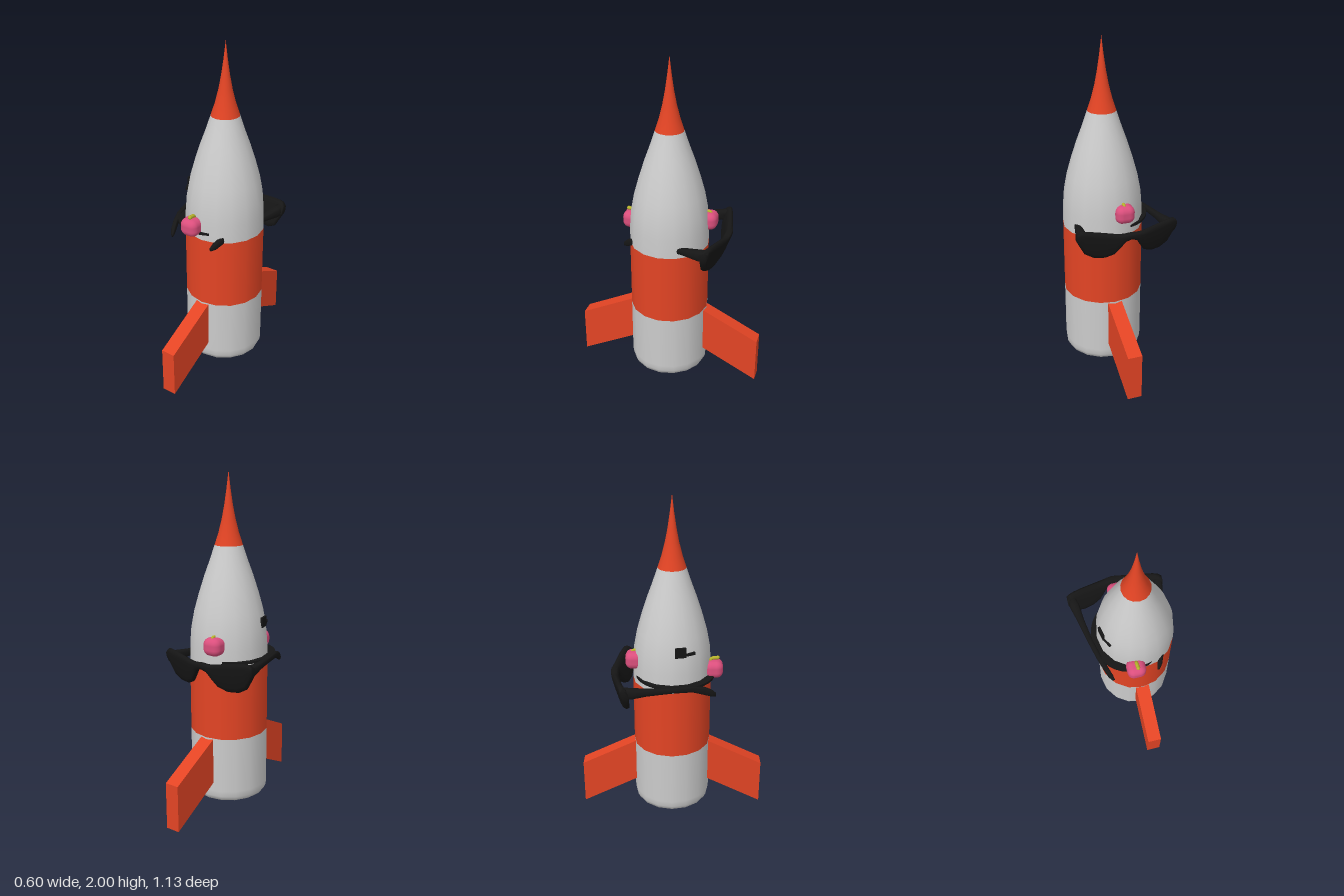
import * as THREE from 'three';
import { RoundedBoxGeometry } from 'three/addons/geometries/RoundedBoxGeometry.js';

const paint = (color) => new THREE.MeshStandardMaterial({ color });
const grey = paint(0xcccccc), red = paint(0xe34424), black = paint(0x161616);
const pink = paint(0xdb4f7d), lime = paint(0xb8b42c);
black.side = THREE.DoubleSide;

const V = (x, y, z) => new THREE.Vector3(x, y, z);

function add(parent, name, geometry, material, x = 0, y = 0, z = 0) {
  const mesh = new THREE.Mesh(geometry, material);
  mesh.name = name;
  mesh.position.set(x, y, z);
  parent.add(mesh);
  return mesh;
}

const lathe = (pts) =>
  new THREE.LatheGeometry(pts.map(([r, y]) => new THREE.Vector2(r, y)), 16);

// Skins rounded cross-sections {c: centre, u, v: half axes} and closes both ends
function loft(sections, sides = 12) {
  const pos = [], index = [];
  const soft = (t) => Math.sign(t) * Math.pow(Math.abs(t), 0.65);
  for (const { c, u, v } of sections) {
    for (let i = 0; i < sides; i++) {
      const a = (i / sides) * Math.PI * 2;
      const p = c.clone().addScaledVector(u, soft(Math.cos(a))).addScaledVector(v, soft(Math.sin(a)));
      pos.push(p.x, p.y, p.z);
    }
  }
  const last = sections.length - 1;
  for (let s = 0; s < last; s++) {
    for (let i = 0; i < sides; i++) {
      const a = s * sides + i, b = s * sides + ((i + 1) % sides);
      index.push(a, b, b + sides, a, b + sides, a + sides);
    }
  }
  for (let i = 1; i < sides - 1; i++) {
    index.push(0, i + 1, i);
    index.push(last * sides, last * sides + i, last * sides + i + 1);
  }
  const g = new THREE.BufferGeometry();
  g.setAttribute('position', new THREE.Float32BufferAttribute(pos, 3));
  g.setIndex(index);
  g.computeVertexNormals();
  return g;
}

function makeRocket() {
  const rocket = new THREE.Group();
  rocket.name = 'rocket';
  rocket.position.x = 0.055;

  // Hull in four bands, with a hollow under the base
  add(rocket, 'lowerHull', lathe([[0, 0.11], [0.08, 0.1], [0.13, 0.075], [0.155, 0.05], [0.175, 0.043],
    [0.2, 0.046], [0.222, 0.06], [0.233, 0.085], [0.235, 0.12], [0.235, 0.46]]), grey);
  add(rocket, 'hullBand', lathe([[0.235, 0.46], [0.235, 0.89]]), red);
  add(rocket, 'upperHull', lathe([[0.235, 0.89], [0.233, 1], [0.225, 1.1], [0.206, 1.2],
    [0.178, 1.3], [0.146, 1.4], [0.113, 1.49], [0.083, 1.58]]), grey);
  add(rocket, 'noseTip', lathe([[0.083, 1.58], [0.06, 1.65], [0.04, 1.73], [0.025, 1.81],
    [0.012, 1.9], [0, 2]]), red);

  // Swept fins at front and back
  const outline = new THREE.Shape([[0.19, 0.47], [0.19, 0.19], [0.565, 0], [0.565, 0.285]]
    .map(([x, y]) => new THREE.Vector2(x, y)));
  const finGeometry = new THREE.ExtrudeGeometry(outline, { depth: 0.086, bevelEnabled: false });
  finGeometry.translate(0, 0, -0.043);
  for (const s of [1, -1]) {
    const fin = add(rocket, s > 0 ? 'frontFin' : 'backFin', finGeometry, red);
    fin.rotation.y = -s * Math.PI / 2;
  }
  return rocket;
}

function makeSunglasses() {
  const glasses = new THREE.Group();
  glasses.name = 'sunglasses';

  // Half of the front: x, top, bottom, z
  const half = [[0, 0.965, 0.925, -0.342], [0.035, 0.962, 0.912, -0.341], [0.06, 0.963, 0.87, -0.338],
    [0.09, 0.968, 0.825, -0.331], [0.14, 0.977, 0.8, -0.318], [0.2, 0.986, 0.802, -0.302],
    [0.25, 0.99, 0.83, -0.287], [0.28, 0.988, 0.885, -0.276], [0.298, 0.97, 0.92, -0.272]];
  const mirrored = half.slice(1).reverse().map(([x, ...rest]) => [-x, ...rest]);
  add(glasses, 'lensFrame', loft([...mirrored, ...half].map(([x, top, bottom, z]) => {
    const y = (top + bottom) / 2, h = (top - bottom) / 2;
    return { c: V(x, y, z + (0.95 - y) * 0.25), u: V(0, h, -0.25 * h), v: V(0, 0, 0.023) };
  })), black);

  // Temples: x, y, z, half width, half height
  const arm = [[0.272, 0.94, -0.285, 0.024, 0.036], [0.262, 0.935, -0.23, 0.03, 0.03],
    [0.248, 0.935, -0.14, 0.021, 0.02], [0.224, 0.935, 0, 0.016, 0.016], [0.195, 0.93, 0.12, 0.016, 0.018],
    [0.17, 0.905, 0.19, 0.016, 0.024], [0.152, 0.88, 0.235, 0.015, 0.02], [0.14, 0.865, 0.258, 0.008, 0.01]];
  for (const s of [1, -1]) {
    add(glasses, s > 0 ? 'leftTemple' : 'rightTemple', loft(arm.map(([x, y, z, w, h]) =>
      ({ c: V(s * x, y, z), u: V(w, 0, 0), v: V(0, h, 0) }))), black);
  }
  return glasses;
}

function makeFruit(name, y, z, s) {
  const fruit = new THREE.Group();
  fruit.name = name;
  fruit.position.set(0, y, z);
  fruit.scale.z = s;
  add(fruit, 'fruitBody', new RoundedBoxGeometry(0.113, 0.106, 0.108, 3, 0.04), pink);
  // Bent stalk on top
  const path = new THREE.CatmullRomCurve3([V(0.004, 0.035, -0.02), V(0.004, 0.06, -0.015), V(0.006, 0.066, 0.022)]);
  add(fruit, 'stalk', new THREE.TubeGeometry(path, 8, 0.011, 8), lime);
  add(fruit, 'stalkEnd', new THREE.SphereGeometry(0.012, 8, 6), lime, 0.006, 0.066, 0.022);
  return fruit;
}

export function createModel() {
  const model = new THREE.Group();
  model.name = 'rocketWithSunglasses';
  model.add(makeRocket(), makeSunglasses());

  // Thin dark plate that shows past the hull on one side
  const plate = add(model, 'darkPlate', new THREE.CylinderGeometry(1, 1, 0.014, 32), black, 0, 0.935, 0.02);
  plate.scale.set(0.215, 1, 0.235);

  model.add(makeFruit('frontFruit', 0.97, 0.25, 1));
  const backFruit = makeFruit('backFruit', 1.03, -0.222, 1);
  backFruit.getObjectByName('stalk').scale.setScalar(0.85);
  backFruit.remove(backFruit.getObjectByName('stalkEnd'));
  model.add(backFruit);

  // Small dark marks on the side of the upper hull
  const mark = add(model, 'sideMark', new THREE.BoxGeometry(0.014, 0.06, 0.065), black, -0.157, 1.14, 0.05);
  mark.rotation.y = 0.2;
  const strip = add(model, 'sideMarkStrip', new THREE.BoxGeometry(0.014, 0.016, 0.06), black, -0.137, 1.125, 0.105);
  strip.rotation.y = 0.46;
  return model;
}
